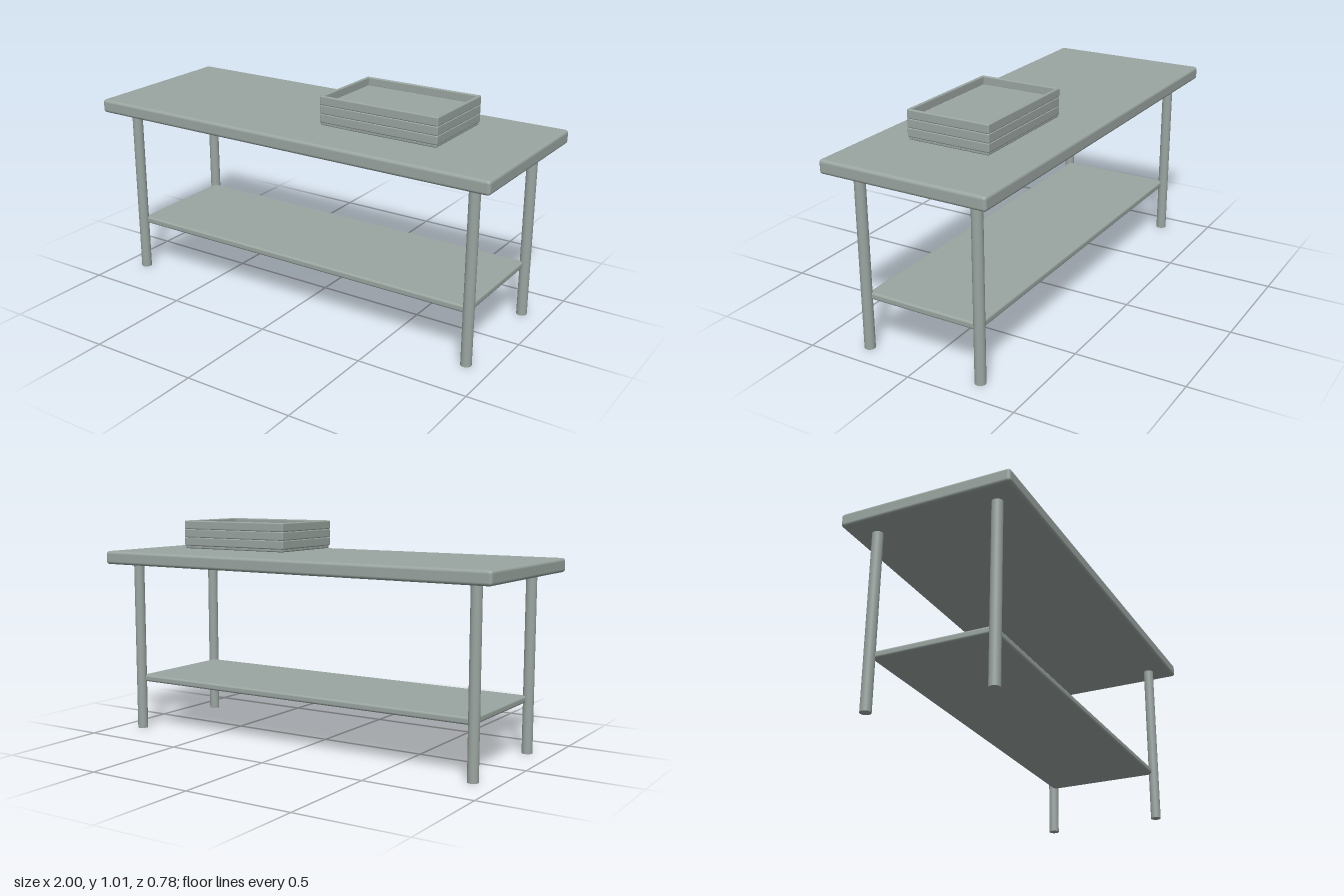
import * as THREE from 'three';
import { RoundedBoxGeometry } from 'three/addons/geometries/RoundedBoxGeometry.js';

const steel = new THREE.MeshStandardMaterial({ color: 0x9aa5a0 });
steel.name = 'brushed steel';

// Rounded slab given by its size, edge radius and centre
function slab(name, w, h, d, r, x, y, z) {
  const mesh = new THREE.Mesh(new RoundedBoxGeometry(w, h, d, 3, r), steel);
  mesh.name = name;
  mesh.position.set(x, y, z);
  return mesh;
}

// Open tray: thin floor with four rim walls, its underside at y = 0
function createTray() {
  const tray = new THREE.Group();
  const w = 0.57, d = 0.392, t = 0.014, rimH = 0.041, rimY = 0.0325;
  tray.add(slab('trayFloor', w - 0.008, 0.016, d - 0.008, 0.005, 0, 0.008, 0));
  for (const s of [-1, 1]) {
    tray.add(slab('trayLongWall', w, rimH, t, 0.006, 0, rimY, s * (d - t) / 2));
    tray.add(slab('trayShortWall', t, rimH, d, 0.006, s * (w - t) / 2, rimY, 0));
  }
  return tray;
}

export function createModel() {
  const table = new THREE.Group();
  table.name = 'workTable';

  // Worktop and lower shelf
  table.add(slab('tableTop', 2, 0.062, 0.776, 0.014, 0, 0.835, 0));
  table.add(slab('lowerShelf', 1.77, 0.032, 0.55, 0.01, 0, 0.246, 0));

  // Four round legs
  const legGeometry = new THREE.CylinderGeometry(0.024, 0.024, 0.81, 24);
  for (const x of [-0.888, 0.888]) {
    for (const z of [-0.278, 0.278]) {
      const leg = new THREE.Mesh(legGeometry, steel);
      leg.name = 'leg';
      leg.position.set(x, 0.405, z);
      table.add(leg);
    }
  }

  // Stack of three trays
  const stack = new THREE.Group();
  stack.name = 'trayStack';
  for (let i = 0; i < 3; i++) {
    const tray = createTray();
    tray.name = 'tray' + (i + 1);
    tray.position.set(0.386, 0.881 + i * 0.039, 0);
    stack.add(tray);
  }
  table.add(stack);
  return table;
}
